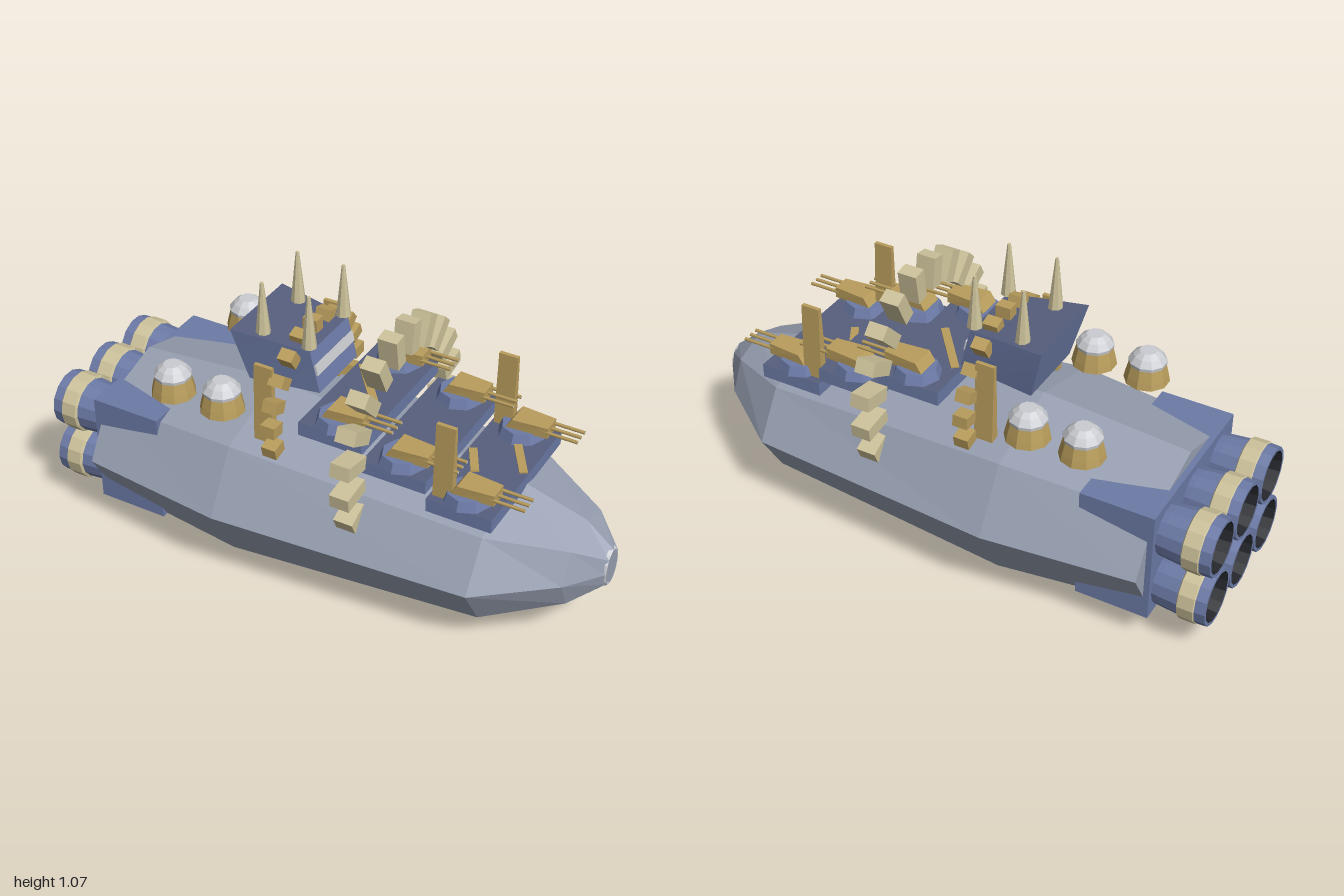
import * as THREE from 'three';

const mat = (name, color) => {
  const m = new THREE.MeshStandardMaterial({ color });
  m.name = name;
  return m;
};

export function createModel() {
  const hullGrey = mat('hull grey', 0x979fb1);
  const blue = mat('steel blue', 0x6c7aa6);
  const deckBlue = mat('dark deck blue', 0x575f7e);
  const gold = mat('gold', 0xb99d5c);
  const cream = mat('cream', 0xcdc29b);
  const light = mat('light grey', 0xcbcdd2);
  const dark = mat('nozzle black', 0x24262c);

  const model = new THREE.Group();
  model.name = 'battleship';

  const flat = (g) => {
    const f = g.index ? g.toNonIndexed() : g;
    f.computeVertexNormals();
    return f;
  };
  const add = (name, geo, material, x = 0, y = 0, z = 0, parent = model) => {
    const m = new THREE.Mesh(geo, material);
    m.name = name;
    m.position.set(x, y, z);
    parent.add(m);
    return m;
  };
  // Box given by its limits; the top may have its own colour
  const boxAt = (name, x0, x1, y0, y1, z0, z1, side, top = side, parent = model) =>
    add(name, new THREE.BoxGeometry(x1 - x0, y1 - y0, z1 - z0), [side, side, top, side, side, side],
      (x0 + x1) / 2, (y0 + y1) / 2, (z0 + z1) / 2, parent);
  const lathe = (pts, sides) =>
    flat(new THREE.LatheGeometry(pts.map(([r, y]) => new THREE.Vector2(r, y)), sides));

  // Faceted skin over elliptical sections [x, centreY, radiusY, radiusZ]
  const loft = (sections, sides) => {
    const pos = [];
    const p = ([x, cy, ry, rz], j) => {
      const a = (j / sides) * Math.PI * 2;
      return [x, cy + ry * Math.sin(a), rz * Math.cos(a)];
    };
    const first = sections[0], last = sections[sections.length - 1];
    for (let j = 0; j < sides; j++) {
      for (let i = 0; i < sections.length - 1; i++) {
        const a = p(sections[i], j), b = p(sections[i + 1], j);
        const c = p(sections[i + 1], j + 1), d = p(sections[i], j + 1);
        pos.push(...a, ...b, ...d, ...b, ...c, ...d);
      }
      pos.push(first[0], first[1], 0, ...p(first, j), ...p(first, j + 1));
      pos.push(last[0], last[1], 0, ...p(last, j + 1), ...p(last, j));
    }
    const g = new THREE.BufferGeometry();
    g.setAttribute('position', new THREE.Float32BufferAttribute(pos, 3));
    g.computeVertexNormals();
    return g;
  };

  // Hull and nose rim
  add('hull', loft([
    [-0.79, 0.31, 0.26, 0.38],
    [-0.26, 0.307, 0.307, 0.435],
    [0.65, 0.297, 0.237, 0.36],
    [0.9, 0.307, 0.153, 0.175],
    [1.0, 0.307, 0.07, 0.05],
  ], 8), hullGrey);
  add('noseRim', lathe([[0.045, 0], [0.057, 0], [0.052, 0.012], [0.045, 0.012], [0.045, 0]], 12)
    .rotateZ(-Math.PI / 2).scale(1, 1.35, 1), light, 0.988, 0.307, 0);

  // Engine block with six nozzles
  boxAt('engineBlock', -0.81, -0.55, 0.11, 0.525, -0.31, 0.31, blue);
  const nozzleParts = [
    ['nozzleBody', [[0.085, 0], [0.09, 0.04], [0.096, 0.11]], blue],
    ['nozzleBand', [[0.096, 0.11], [0.105, 0.115], [0.106, 0.17], [0.1, 0.175]], cream],
    ['nozzleLip', [[0.102, 0.172], [0.1, 0.21], [0.088, 0.21]], blue],
    ['nozzleInside', [[0.088, 0.21], [0.065, 0.06], [0, 0.06]], dark],
  ].map(([n, pts, m]) => [n, lathe(pts, 14).rotateZ(Math.PI / 2), m]);
  for (const y of [0.205, 0.412]) for (const z of [-0.205, 0, 0.205]) {
    const nozzle = new THREE.Group();
    nozzle.name = 'engineNozzle';
    nozzle.position.set(-0.79, y, z);
    for (const [n, g, m] of nozzleParts) add(n, g, m, 0, 0, 0, nozzle);
    model.add(nozzle);
  }

  // Domes on gold drums
  const drum = lathe([[0, 0], [0.078, 0], [0.073, 0.025], [0.062, 0.07], [0, 0.07]], 10);
  const cap = lathe([[0.064, 0.066], [0.066, 0.078], [0.05, 0.1], [0.034, 0.112], [0.03, 0.115], [0, 0.115]], 10);
  for (const x of [-0.52, -0.325]) for (const z of [-0.237, 0.237]) {
    add('domeDrum', drum, gold, x, 0.615, z);
    add('domeCap', cap, light, x, 0.615, z);
  }

  // Three stepped gun decks, each with a pair of triple turrets
  const base = flat(new THREE.CylinderGeometry(0.07, 0.083, 0.035, 8));
  const house = new THREE.BoxGeometry(0.15, 0.04, 0.09);
  const hp = house.attributes.position;
  for (let i = 0; i < hp.count; i++) {
    if (hp.getX(i) > 0) hp.setZ(i, hp.getZ(i) * 0.75);
    if (hp.getX(i) < 0 && hp.getY(i) > 0) hp.setX(i, -0.05);
  }
  const houseGeo = flat(house);
  const barrel = new THREE.CylinderGeometry(0.006, 0.006, 0.17, 6).rotateZ(Math.PI / 2);
  const muzzle = new THREE.CircleGeometry(0.005, 6).rotateY(Math.PI / 2);
  const decks = [[0.455, 0.685, 0.51, 0.56], [0.222, 0.452, 0.575, 0.622], [-0.012, 0.22, 0.64, 0.69]];
  for (const [x0, x1, y0, y1] of decks) {
    boxAt('gunDeck', x0, x1, y0, y1, -0.27, 0.27, blue, deckBlue);
    for (const s of [-1, 1]) {
      const turret = new THREE.Group();
      turret.name = 'turret';
      turret.position.set((x0 + x1) / 2, y1, 0.203 * s);
      add('turretBase', base, blue, 0, 0.0175, 0, turret);
      add('gunHouse', houseGeo, gold, 0.03, 0.05, 0, turret);
      for (const dz of [-0.038, 0, 0.038]) {
        add('gunBarrel', barrel, gold, 0.125, 0.052, dz * 0.8, turret);
        add('muzzle', muzzle, light, 0.2105, 0.052, dz * 0.8, turret);
      }
      model.add(turret);
    }
  }

  // Gold diagonal stripes on the decks
  const stripe = (x0, z0, x1, z1, y) => {
    const m = add('deckStripe', new THREE.BoxGeometry(Math.hypot(x1 - x0, z1 - z0), 0.006, 0.028),
      gold, (x0 + x1) / 2, y, (z0 + z1) / 2);
    m.rotation.y = -Math.atan2(z1 - z0, x1 - x0);
  };
  stripe(0.01, -0.12, 0.155, 0.06, 0.692);
  stripe(0.59, -0.13, 0.67, 0.0, 0.562);
  stripe(0.47, -0.04, 0.53, 0.07, 0.562);

  // Bridge: a box flared toward the rear top, raked at the front
  const bridge = new THREE.BoxGeometry(1, 1, 1);
  const bp = bridge.attributes.position;
  for (let i = 0; i < bp.count; i++) {
    const front = bp.getX(i) > 0, top = bp.getY(i) > 0, s = Math.sign(bp.getZ(i));
    if (front) bp.setXYZ(i, top ? -0.05 : -0.015, top ? 0.863 : 0.715, 0.125 * s);
    else bp.setXYZ(i, top ? -0.33 : -0.28, top ? 0.885 : 0.692, (top ? 0.165 : 0.135) * s);
  }
  bridge.computeVertexNormals();
  add('bridge', bridge, [blue, blue, deckBlue, blue, blue, blue]);
  const pane = add('bridgeWindow', new THREE.BoxGeometry(0.009, 0.036, 0.244), light, -0.031, 0.795, 0);
  pane.rotation.z = 0.23;

  // Spires on the bridge roof
  const spire = flat(new THREE.CylinderGeometry(0.006, 0.026, 0.19, 8));
  for (const x of [-0.235, -0.06]) for (const z of [-0.112, 0.112])
    add('spire', spire, cream, x, 0.97, z);

  // Tapered upright fins
  const fin = new THREE.BoxGeometry(0.068, 0.29, 0.036);
  const fp = fin.attributes.position;
  for (let i = 0; i < fp.count; i++) if (fp.getY(i) > 0) fp.setZ(i, fp.getZ(i) * 0.4);
  fin.computeVertexNormals();
  for (const x of [-0.165, 0.498]) for (const z of [-0.226, 0.226])
    add('fin', fin, gold, x, 0.687, z);

  // Arches of separate blocks standing across the hull
  const arch = (name, count, span, x, cy, r, size, material) => {
    const g = new THREE.BoxGeometry(...size);
    for (let i = 0; i < count; i++) {
      const a = span * (i / (count - 1) - 0.5);
      add(name, g, material, x, cy + r * Math.cos(a), r * Math.sin(a)).rotation.x = a;
    }
  };
  arch('creamArchBlock', 14, THREE.MathUtils.degToRad(230), 0.21, 0.578, 0.342, [0.07, 0.112, 0.05], cream);
  arch('goldArchBlock', 13, THREE.MathUtils.degToRad(206), -0.112, 0.61, 0.275, [0.054, 0.055, 0.042], gold);

  return model;
}
